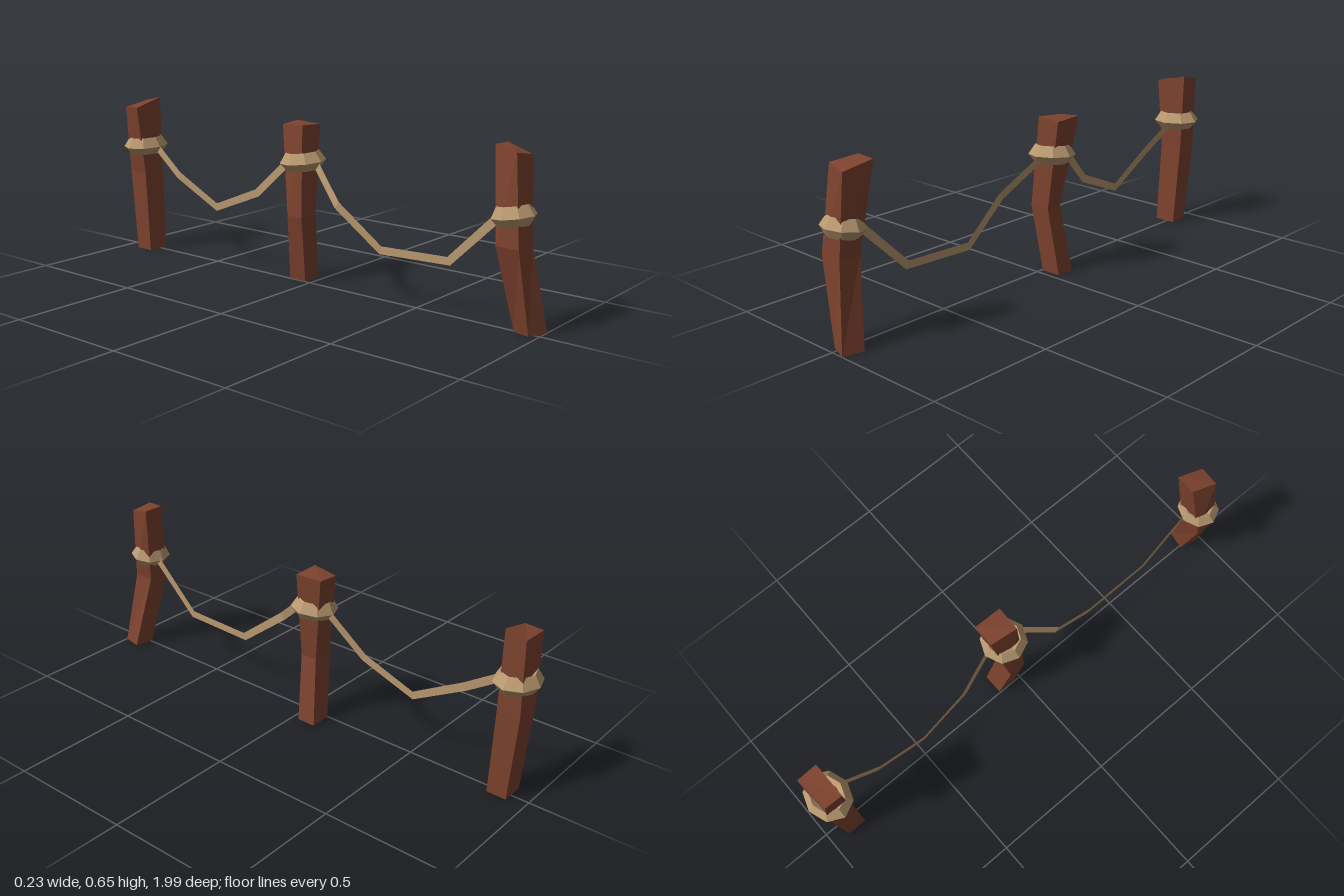
import * as THREE from 'three';

const wood = new THREE.MeshStandardMaterial({ color: 0x7d422e, flatShading: true });
wood.name = 'reddish wood';
const hemp = new THREE.MeshStandardMaterial({ color: 0xb8986f, flatShading: true, side: THREE.DoubleSide });
hemp.name = 'tan rope';

// Crooked four-sided post: each level lists [x, y, z] front left, front right, back right, back left
function post(levels) {
  const pos = [];
  const quad = (a, b, c, d) => pos.push(...a, ...b, ...c, ...a, ...c, ...d);
  for (let i = 0; i < levels.length - 1; i++) {
    for (let j = 0; j < 4; j++) {
      const k = (j + 1) % 4;
      quad(levels[i][j], levels[i][k], levels[i + 1][k], levels[i + 1][j]);
    }
  }
  quad(...levels[levels.length - 1]);
  quad(...[...levels[0]].reverse());
  const g = new THREE.BufferGeometry();
  g.setAttribute('position', new THREE.Float32BufferAttribute(pos, 3));
  g.computeVertexNormals();
  return new THREE.Mesh(g, wood);
}

// Axis-aligned cross-section of a post
const section = (y, x0, x1, zFront, zBack) =>
  [[x0, y, zFront], [x1, y, zFront], [x1, y, zBack], [x0, y, zBack]];

// Faceted rope collar around a post
function collar([x, y, z], rx, rz, tiltX, tiltZ) {
  const profile = [[0.5, -0.02], [0.7, -0.036], [1, -0.004], [0.72, 0.036], [0.5, 0.02]]
    .map(p => new THREE.Vector2(...p));
  const g = new THREE.LatheGeometry(profile, 8);
  g.scale(rx, 1, rz);
  const m = new THREE.Mesh(g, hemp);
  m.position.set(x, y, z);
  m.rotation.set(tiltX, 0, tiltZ);
  return m;
}

// Flat upright ribbon of rope hanging along a path
function ribbon(points) {
  const p = points.map(a => new THREE.Vector3(...a));
  const pos = [], index = [];
  p.forEach((v, i) => {
    const t = p[Math.min(i + 1, p.length - 1)].clone().sub(p[Math.max(i - 1, 0)]);
    const n = new THREE.Vector3(0, -t.z, t.y).normalize().multiplyScalar(0.016);
    pos.push(v.x, v.y + n.y, v.z + n.z, v.x, v.y - n.y, v.z - n.z);
    if (i) index.push(2 * i - 2, 2 * i - 1, 2 * i, 2 * i, 2 * i - 1, 2 * i + 1);
  });
  const g = new THREE.BufferGeometry();
  g.setAttribute('position', new THREE.Float32BufferAttribute(pos, 3));
  g.setIndex(index);
  g.computeVertexNormals();
  return new THREE.Mesh(g, hemp);
}

export function createModel() {
  const group = new THREE.Group();
  const add = (name, mesh) => { mesh.name = name; group.add(mesh); };

  // Posts
  add('frontPost', post([
    [[-0.025, 0, 0.97], [0.053, 0, 1.0], [0.07, 0, 0.92], [-0.008, 0, 0.905]],
    section(0.31, -0.087, 0.007, 0.955, 0.868),
    [[-0.064, 0.627, 0.922], [0.02, 0.612, 0.935], [0.045, 0.64, 0.828], [-0.036, 0.642, 0.824]],
  ]));
  add('middlePost', post([
    section(0, 0.005, 0.088, -0.028, -0.105),
    section(0.265, -0.04, 0.046, -0.01, -0.08),
    [[-0.015, 0.62, -0.025], [0.087, 0.615, -0.02], [0.088, 0.62, -0.135], [0, 0.613, -0.135]],
  ]));
  add('backPost', post([
    section(0, -0.055, 0.035, -0.85, -0.928),
    section(0.34, -0.055, 0.045, -0.868, -0.958),
    [[-0.088, 0.622, -0.873], [0.047, 0.655, -0.875], [0.05, 0.637, -0.957], [-0.085, 0.62, -0.945]],
  ]));

  // Collars
  add('frontCollar', collar([-0.033, 0.412, 0.902], 0.085, 0.077, -0.14, 0));
  add('middleCollar', collar([0.025, 0.477, -0.056], 0.09, 0.091, -0.08, 0.05));
  add('backCollar', collar([-0.01, 0.455, -0.908], 0.1, 0.085, 0, 0.04));

  // Hanging ropes
  add('frontRope', ribbon([
    [-0.02, 0.405, 0.85], [-0.02, 0.205, 0.645], [-0.02, 0.195, 0.35],
    [-0.037, 0.34, 0.16], [0.03, 0.475, 0.0],
  ]));
  add('backRope', ribbon([
    [0.03, 0.465, -0.13], [0.002, 0.322, -0.275], [-0.01, 0.235, -0.49],
    [-0.02, 0.345, -0.70], [0, 0.445, -0.85],
  ]));
  return group;
}
